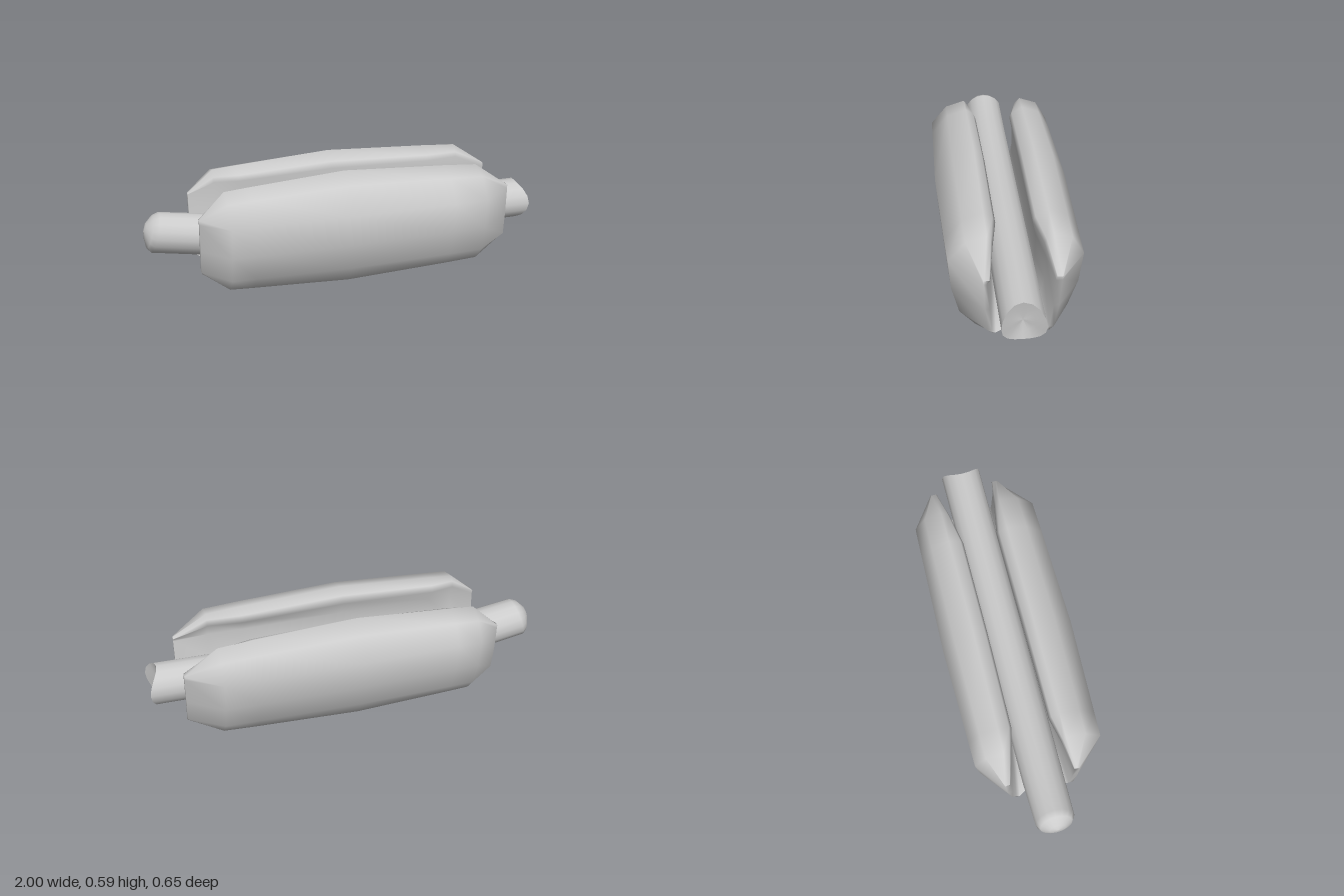
import * as THREE from 'three';

const lerp = THREE.MathUtils.lerp;
const material = () => new THREE.MeshStandardMaterial({ color: 0xcccccc, side: THREE.DoubleSide });

// Skins equal-length closed rings of [x, y, z]; rings run towards +x, counterclockwise seen from +x.
function loft(name, rings, capped = false) {
  const n = rings[0].length, last = (rings.length - 1) * n, index = [];
  for (let i = 0; i < rings.length - 1; i++) {
    for (let j = 0; j < n; j++) {
      const a = i * n + j, b = i * n + (j + 1) % n;
      index.push(a, b, b + n, a, b + n, a + n);
    }
  }
  // Caps join each point with its partner on the opposite side of the ring
  if (capped) {
    for (let j = 0; j < n / 2 - 1; j++) {
      const a = j, b = j + 1, c = n - 2 - j, d = n - 1 - j;
      index.push(a, c, b, a, d, c);
      index.push(last + a, last + b, last + c, last + a, last + c, last + d);
    }
  }
  const geometry = new THREE.BufferGeometry();
  geometry.setAttribute('position', new THREE.Float32BufferAttribute(rings.flat(2), 3));
  geometry.setIndex(index);
  geometry.computeVertexNormals();
  const mesh = new THREE.Mesh(geometry, material());
  mesh.name = name;
  return mesh;
}

// U-shaped bun section as [z, y], from the front lip round to the back lip
const outer = [[0.13, 0.593], [0.238, 0.553], [0.328, 0.43], [0.315, 0.27], [0.278, 0.13],
  [0.2, 0.03], [0.115, 0], [0, 0], [-0.105, 0], [-0.185, 0.03],
  [-0.255, 0.13], [-0.305, 0.27], [-0.327, 0.43], [-0.265, 0.55], [-0.168, 0.592]];
const inner = [[0.09, 0.56], [0.077, 0.52], [0.135, 0.43], [0.105, 0.31], [0.1, 0.25],
  [0.085, 0.2], [0.05, 0.175], [0, 0.17], [-0.05, 0.175], [-0.085, 0.2],
  [-0.1, 0.25], [-0.11, 0.31], [-0.112, 0.43], [-0.097, 0.518], [-0.11, 0.55]];
// Middle line of the U, to which the bun narrows at its ends
const spine = [[0.16, 0.43], [0.16, 0.43], [0.155, 0.41], [0.15, 0.27], [0.14, 0.15],
  [0.12, 0.13], [0.07, 0.13], [0, 0.13], [-0.07, 0.13], [-0.13, 0.13],
  [-0.15, 0.15], [-0.17, 0.27], [-0.18, 0.41], [-0.19, 0.43], [-0.19, 0.43]];

function bunRing([x, fullY, outerZ, innerZ, recess]) {
  const place = (side, fullZ) => side.map(([z, y], i) => {
    const [sz, sy] = spine[i];
    // the end is drawn in under the sausage
    const dx = recess * Math.max(0, 1 - Math.abs(sz) / 0.13) * (sy < 0.14 ? 1 : 0);
    return [x + dx, lerp(sy, y, fullY), lerp(sz, z, fullZ)];
  });
  return [...place(outer, outerZ), ...place(inner, innerZ).reverse()];
}

// Sausage ring: x, centre height, radius, lean, and depth of the bite
function sausageRing([x, cy, r, lean = 0, bite = 0]) {
  const sides = 16;
  return Array.from({ length: sides }, (_, i) => {
    const a = i / sides * Math.PI * 2, dy = -r * Math.sin(a);
    return [x + lean * dy + bite * Math.cos(a) ** 2, cy + dy, r * Math.cos(a)];
  });
}

export function createModel() {
  const model = new THREE.Group();
  model.name = 'hotDog';

  // Bun: x, then how far each direction has swelled from the spine
  model.add(loft('bun', [
    [-0.75, 0, 0.1, 0.2, 0.07],
    [-0.62, 0.74, 0.9, 0.6, 0],
    [-0.5, 0.8, 0.92, 0.95, 0],
    [-0.02, 1, 1, 1, 0],
    [0.5, 0.82, 0.93, 1, 0],
    [0.67, 0.74, 0.9, 0.65, 0],
    [0.84, 0, 0.05, 0.3, -0.08],
  ].map(bunRing), true));

  // Sausage, rising slightly at its rounded end
  model.add(loft('sausage', [
    [-1, 0.335, 0],
    [-0.992, 0.335, 0.04, 0.2],
    [-0.97, 0.329, 0.08, 0.28],
    [-0.945, 0.323, 0.097, 0.3],
    [-0.72, 0.285, 0.102, 0.1],
    [0, 0.275, 0.103],
    [0.7, 0.28, 0.103],
    [0.95, 0.282, 0.103, 0, 0.05],
  ].map(sausageRing)));

  // Hollow bitten end
  model.add(loft('bittenEnd', [
    [0.95, 0.282, 0.103, 0, 0.05],
    [0.942, 0.282, 0.055, 0, 0.02],
    [0.938, 0.282, 0],
  ].map(sausageRing)));

  return model;
}
